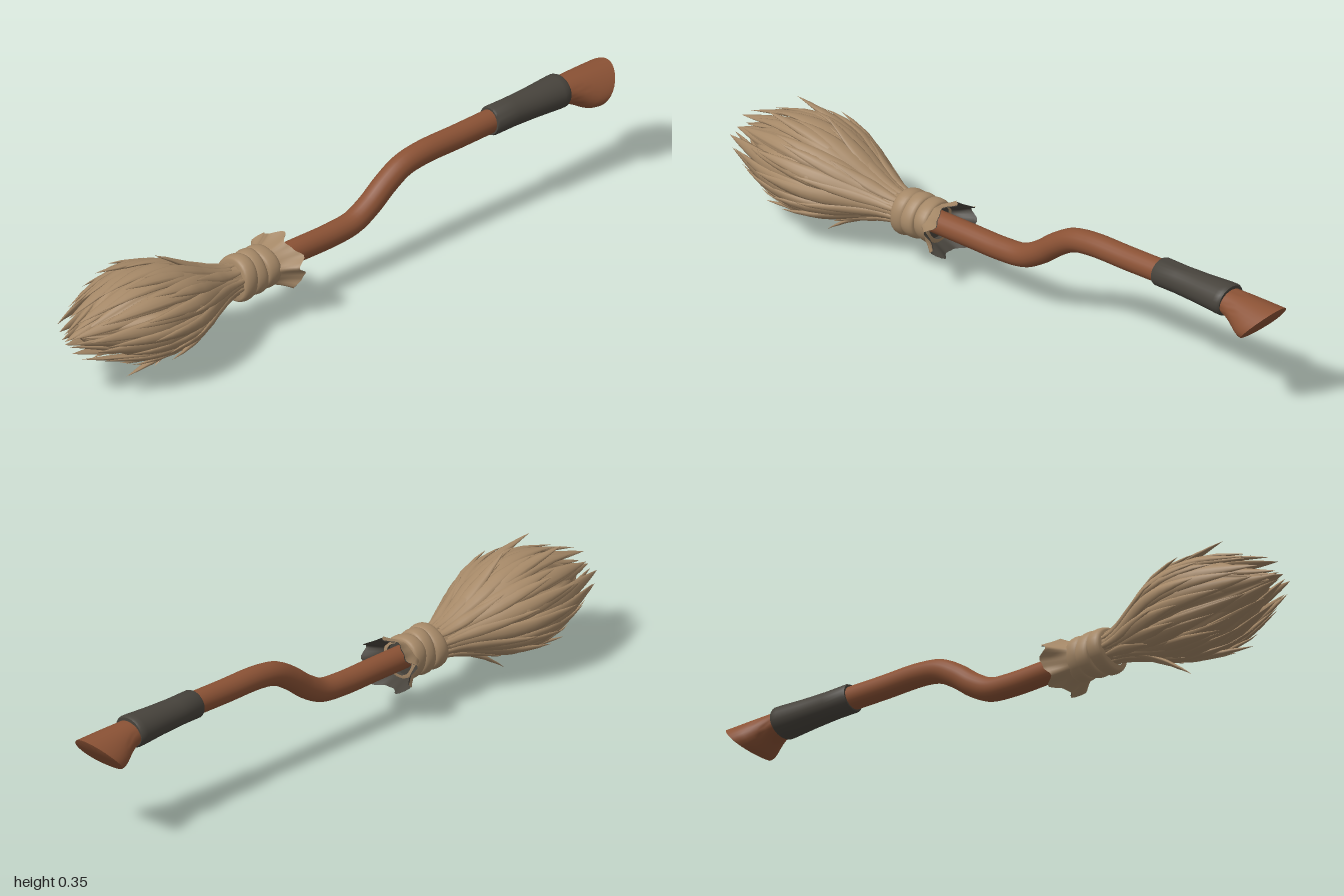
import * as THREE from 'three';
import { toCreasedNormals } from 'three/addons/utils/BufferGeometryUtils.js';

const TAU = Math.PI * 2;
const lerp = THREE.MathUtils.lerp;

// Skin over rings: f(u, a) gives a point, u running towards +x, a turning from +y to +z
function skin(f, rings, sides) {
  const pos = [], index = [];
  for (let i = 0; i <= rings; i++) {
    for (let j = 0; j < sides; j++) pos.push(...f(i / rings, (j / sides) * TAU));
  }
  for (let i = 0; i < rings; i++) {
    for (let j = 0; j < sides; j++) {
      const k = (j + 1) % sides;
      const a = i * sides + j, b = i * sides + k, c = a + sides, d = b + sides;
      index.push(a, b, c, b, d, c);
    }
  }
  const g = new THREE.BufferGeometry();
  g.setAttribute('position', new THREE.Float32BufferAttribute(pos, 3));
  g.setIndex(index);
  g.computeVertexNormals();
  return g;
}

// Piecewise value from [x, value] pairs, x ascending
function sample(table, x) {
  for (let i = 1; i < table.length; i++) {
    const [x0, v0] = table[i - 1], [x1, v1] = table[i];
    if (x <= x1) return lerp(v0, v1, THREE.MathUtils.clamp((x - x0) / (x1 - x0), 0, 1));
  }
  return table[table.length - 1][1];
}

// Brush outline: radius and centre height along x
const BRUSH = [[-1, 0.05], [-0.93, 0.085], [-0.86, 0.115], [-0.8, 0.138], [-0.74, 0.15], [-0.68, 0.153],
  [-0.62, 0.145], [-0.56, 0.122], [-0.5, 0.092], [-0.44, 0.066], [-0.4, 0.057], [-0.34, 0.055]];
const CENTRE = [[-1, 0.2], [-0.7, 0.19], [-0.4, 0.166], [-0.2, 0.163]];
const FLAT = 0.82;

export function createModel() {
  const group = new THREE.Group();
  const material = (name, color, side = THREE.FrontSide) => {
    const m = new THREE.MeshStandardMaterial({ color, side });
    m.name = name;
    return m;
  };
  const wood = material('wood', 0x8b5235);
  const straw = material('straw', 0xa58867);
  const dark = material('dark leather', 0x47433c, THREE.DoubleSide);
  const add = (name, geometry, mat, parent = group) => {
    const mesh = new THREE.Mesh(geometry, mat);
    mesh.name = name;
    parent.add(mesh);
    return mesh;
  };

  // Bent handle
  const path = new THREE.CatmullRomCurve3([
    [-0.34, 0.165], [-0.15, 0.165], [-0.02, 0.165], [0.06, 0.174], [0.12, 0.205], [0.18, 0.25],
    [0.24, 0.284], [0.31, 0.297], [0.45, 0.299], [0.62, 0.302], [0.84, 0.301],
  ].map(([x, y]) => new THREE.Vector3(x, y, 0)), false, 'centripetal');
  add('handle', new THREE.TubeGeometry(path, 80, 0.034, 20), wood);

  // Leather grip with rolled ends
  const grip = [[0.562, 0.033], [0.562, 0.039], [0.568, 0.042], [0.64, 0.041], [0.72, 0.043],
    [0.8, 0.047], [0.816, 0.047], [0.823, 0.043], [0.823, 0.03]];
  add('grip', toCreasedNormals(skin((u, a) => {
    const [x, r] = grip[Math.round(u * 8)];
    const wide = lerp(1, 1.14, (x - 0.56) / 0.26);
    return [x + 0.004 * Math.cos(a), 0.302 + r * Math.cos(a), r * wide * Math.sin(a)];
  }, 8, 28), 0.9), dark);

  // Flared handle end, cut at a slant
  add('handleEnd', toCreasedNormals(skin((u, a) => {
    const i = Math.round(u * 9), t = Math.min(1, i / 7);
    const rim = i < 8 ? 1 : i === 8 ? 0.9 : 0;
    const s = t * t * (3 - 2 * t);
    const y = lerp(0.3, 0.279, s) + lerp(0.036, 0.053, s) * Math.cos(a) * rim;
    const z = lerp(0.044, 0.077, s) * Math.sin(a) * (1 - 0.22 * s * Math.cos(a)) * rim;
    const x = lerp(0.8, 0.95 + (y - 0.279) * 0.92, t) + (i > 7 ? 0.003 : 0);
    return [x, y, z];
  }, 9, 32), 0.6), wood);

  // Ridged core of the brush
  const brush = new THREE.Group();
  brush.name = 'brush';
  group.add(brush);
  add('brushCore', skin((u, a) => {
    const x = lerp(-0.95, -0.34, u);
    const close = Math.sqrt(Math.min(1, u / 0.3));
    const ridge = 0.9 + 0.08 * Math.abs(Math.cos(a * 8)) * Math.min(1, (1 - u) * 3);
    const r = sample(BRUSH, x) * close * ridge;
    return [x, sample(CENTRE, x) + r * FLAT * Math.cos(a), r * Math.sin(a)];
  }, 30, 96), straw, brush);

  // One pointed straw lock hugging the brush from root to tip
  function lock(angle, root, tip, { scale = 1, lift = 0, width = 0.03, thick = 0.015 } = {}) {
    const c = Math.cos(angle), s = Math.sin(angle);
    add('strawLock', skin((u, b) => {
      const t = 1 - u;
      const x = lerp(root, tip, t);
      const size = Math.min(1, 0.3 + 1.6 * t) * (1 - Math.pow(t, 2.6));
      const r = sample(BRUSH, x) * lerp(0.95, scale, t) - 0.004 + lift * t * t * t + thick * size * Math.cos(b);
      const w = width * size * Math.sin(b);
      return [x, sample(CENTRE, x) + FLAT * (r * c - w * s), r * s + w * c];
    }, 14, 10), straw, brush);
  }
  // Rings of locks; lengths vary with the angle so both sides match
  const layers = [
    { n: 7, root: -0.68, tip: -0.975, vary: 0.02, scale: 0.45, lift: 0, width: 0.03 },
    { n: 12, root: -0.58, tip: -0.945, vary: 0.025, scale: 0.95, lift: 0.012, width: 0.035 },
    { n: 16, root: -0.45, tip: -0.89, vary: 0.045, scale: 1, lift: 0.014, width: 0.034 },
    { n: 14, root: -0.4, tip: -0.79, vary: 0.05, scale: 1, lift: 0.022, width: 0.031 },
    { n: 10, root: -0.37, tip: -0.61, vary: 0.05, scale: 1, lift: 0.014, width: 0.022 },
  ];
  layers.forEach(({ n, root, tip, vary, ...shape }, k) => {
    for (let i = 0; i < n; i++) {
      const a = ((i + (k % 2) * 0.5) / n) * TAU;
      lock(a, root, tip + vary * Math.sin(9 * Math.cos(a) + k * 2), shape);
    }
  });
  // Longest point and the locks that stick out
  lock(0, -0.7, -1, { scale: 0.1, width: 0.035, thick: 0.025 });
  lock(0, -0.42, -0.67, { lift: 0.05, width: 0.026 });
  lock(Math.PI, -0.42, -0.67, { lift: 0.085, width: 0.034 });
  for (const side of [-1, 1]) {
    lock(side * 0.35, -0.5, -0.835, { lift: 0.055, width: 0.026 });
    lock(side * 2.75, -0.5, -0.835, { lift: 0.06, width: 0.026 });
    lock(side * 0.8, -0.42, -0.73, { lift: 0.03, width: 0.026 });
    lock(side * 2.3, -0.42, -0.72, { lift: 0.03, width: 0.026 });
  }

  // Binding: three uneven straw coils
  for (let i = 0; i < 3; i++) {
    const mid = -0.362 + i * 0.042;
    add('bindingCoil', skin((u, a) => {
      const p = u * Math.PI;
      const r = 0.046 + (0.022 - i * 0.002) * Math.sqrt(Math.sin(p) + 1e-6) + 0.002 * Math.sin(3 * a + i * 2);
      const x = mid - 0.024 * Math.cos(p) + 0.004 * Math.cos(a + i * 2);
      return [x, 0.163 + r * Math.cos(a), r * Math.sin(a)];
    }, 10, 32), straw);
  }

  // Ragged flared collar with a dark lining
  const flare = (inset) => (u, a) => {
    const ragged = 0.012 * Math.cos(7 * a) + 0.006 * Math.cos(12 * a);
    const x = lerp(-0.285, -0.207 + ragged, u);
    const r = 0.053 + 0.028 * Math.pow(u, 1.5) + 0.005 * u * Math.cos(5 * a) - inset;
    return [x, 0.16 + r * 0.94 * Math.cos(a), r * lerp(1, 1.22, u) * Math.sin(a)];
  };
  add('collar', skin(flare(0), 10, 64), straw);
  add('collarLining', skin(flare(0.003), 10, 64), dark);
  add('collarFloor', new THREE.CircleGeometry(0.054, 32).rotateY(Math.PI / 2).translate(-0.27, 0.16, 0), dark);

  return group;
}
